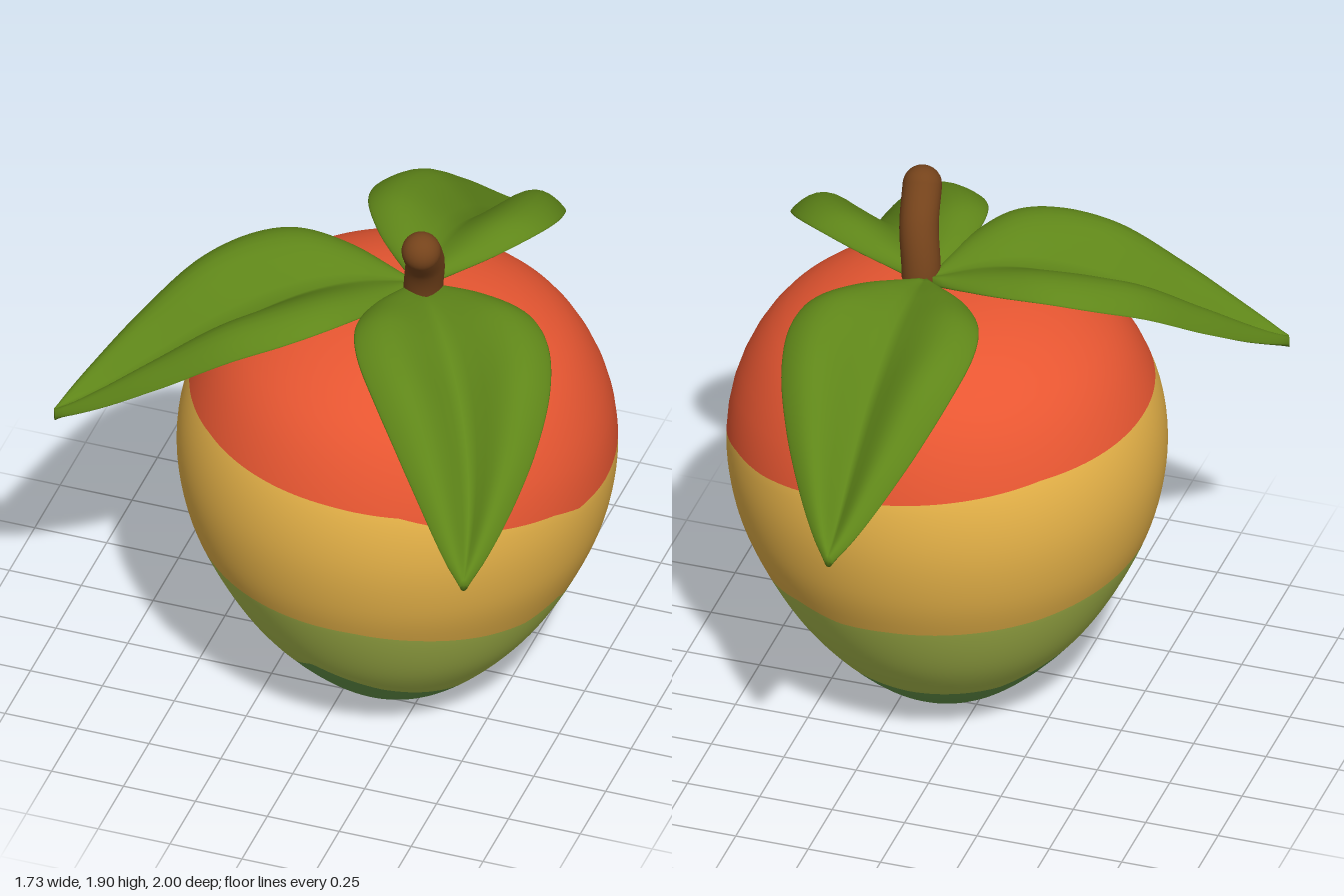
import * as THREE from 'three';

const mat = (name, color) => Object.assign(new THREE.MeshStandardMaterial({ color }), { name });

// Piecewise-linear lookup in a list of [key, value] pairs
function lookup(pairs, k) {
  let i = 1;
  while (i < pairs.length - 1 && pairs[i][0] < k) i++;
  const [a, b] = [pairs[i - 1], pairs[i]];
  return THREE.MathUtils.mapLinear(k, a[0], b[0], a[1], b[1]);
}

// Smooth curve through [x, y] points
const spline = (pts) => new THREE.CatmullRomCurve3(pts.map(([x, y]) => new THREE.Vector3(x, y, 0)));

// Parameter at which a rising component of the curve reaches a value
function solve(curve, axis, value) {
  let lo = 0, hi = 1;
  for (let n = 0; n < 24; n++) {
    const m = (lo + hi) / 2;
    if (curve.getPoint(m)[axis] < value) lo = m; else hi = m;
  }
  return (lo + hi) / 2;
}

// Surface from closed rings; point(i, j) gives [x, y, z]
function ringSurface(rows, cols, point) {
  const pos = [], idx = [];
  for (let i = 0; i <= rows; i++)
    for (let j = 0; j < cols; j++) pos.push(...point(i, j));
  for (let i = 0; i < rows; i++)
    for (let j = 0; j < cols; j++) {
      const a = i * cols + j, b = i * cols + (j + 1) % cols;
      idx.push(a, b, b + cols, a, b + cols, a + cols);
    }
  const g = new THREE.BufferGeometry();
  g.setAttribute('position', new THREE.Float32BufferAttribute(pos, 3));
  g.setIndex(idx);
  g.computeVertexNormals();
  return g;
}

// Fruit: one smooth skin, four colour bands with wavy borders
function makeFruit(materials) {
  const profile = spline([[0, 0], [0.12, 0.008], [0.21, 0.045], [0.34, 0.15], [0.51, 0.35], [0.645, 0.6],
    [0.7, 0.76], [0.724, 0.95], [0.702, 1.13], [0.63, 1.3], [0.54, 1.41], [0.4, 1.5], [0.22, 1.555], [0, 1.565]]);
  // Border heights by angle in degrees, from the front towards +x
  const borders = [
    [[-90, 0.35], [-62, 0.33], [-42, 0.265], [-28, 0.27], [-14, 0.345], [0, 0.29], [13, 0.24], [29, 0.2], [55, 0.15],
      [82, 0.135], [107, 0.175], [126, 0.2], [155, 0.2], [180, 0.19], [225, 0.2], [270, 0.35]],
    [[-90, 0.66], [-32, 0.64], [6, 0.63], [25, 0.6], [47, 0.555], [63, 0.53], [77, 0.555], [82, 0.525], [87, 0.555],
      [100, 0.55], [119, 0.52], [136, 0.55], [148, 0.575], [164, 0.56], [180, 0.58], [225, 0.61], [270, 0.66]],
    [[-90, 1.19], [-45, 1.19], [0, 1.16], [20, 1.14], [45, 1.05], [65, 1.01], [75, 0.97], [90, 0.965], [105, 0.975],
      [125, 1.03], [140, 1.05], [165, 1.1], [180, 1.12], [225, 1.18], [270, 1.19]],
  ];
  const cols = 144, per = 14;
  const stops = Array.from({ length: cols }, (_, j) =>
    [0, ...borders.map((b) => solve(profile, 'y', lookup(b, -90 + (360 * j) / cols))), 1]);
  const geo = ringSurface(per * 4, cols, (i, j) => {
    const band = Math.min(3, Math.floor(i / per));
    const v = THREE.MathUtils.lerp(stops[j][band], stops[j][band + 1], i / per - band);
    const p = profile.getPoint(v), t = THREE.MathUtils.degToRad(-90 + (360 * j) / cols);
    return [0.137 + p.x * Math.sin(t), p.y, 0.107 + p.x * Math.cos(t)];
  });
  const count = per * cols * 6;
  materials.forEach((_, k) => geo.addGroup(k * count, count, k));
  return new THREE.Mesh(geo, materials);
}

// Leaf: low midrib, raised halves with lips curling over, arching down to its tip
const leafWidth = spline([[0, 0.02], [0.06, 0.1], [0.15, 0.2], [0.28, 0.29], [0.4, 0.315], [0.55, 0.29],
  [0.7, 0.225], [0.85, 0.135], [0.95, 0.062], [1, 0.014]]);
const leafRib = spline([[0, 1.565], [0.15, 1.585], [0.3, 1.555], [0.5, 1.45], [0.7, 1.31], [0.85, 1.21], [1, 1.14]]);
const leafCrest = spline([[0, 1.57], [0.15, 1.625], [0.3, 1.65], [0.53, 1.58], [0.74, 1.405], [0.88, 1.265], [1, 1.14]]);
const at = (curve, u) => curve.getPoint(solve(curve, 'x', u)).y;

function makeLeaf(base, tip, drop, bend, material) {
  const dir = tip.clone().sub(base), perp = new THREE.Vector2(-dir.y, dir.x).normalize();
  const rows = 48, cols = 48;
  const geo = ringSurface(rows, cols, (i, j) => {
    const u = THREE.MathUtils.clamp((i - 1) / (rows - 2), 0, 1);
    const open = i === 0 || i === rows ? 0 : 1;
    const a = (j / cols) * Math.PI * 2, s = Math.cos(a) * open;
    const side = s * at(leafWidth, u) + bend * Math.sin(Math.PI * u ** 1.3);
    const rib = at(leafRib, u), crest = at(leafCrest, u);
    const lift = Math.sin(2.3 * Math.abs(s)) ** 1.2;
    const y = rib + (crest - rib) * lift - Math.sin(a) * open * 0.022 + drop * u ** 3;
    return [base.x + dir.x * u + perp.x * side, y, base.y + dir.y * u + perp.y * side];
  });
  return new THREE.Mesh(geo, material);
}

export function createModel() {
  const model = new THREE.Group();
  model.name = 'fruit';
  const add = (name, mesh) => { mesh.name = name; model.add(mesh); };

  add('fruitBody', makeFruit([mat('dark green skin', 0x66964a), mat('light green skin', 0xadbf4e),
    mat('yellow skin', 0xe8b449), mat('red skin', 0xe95732)]));

  // Three leaves around the stem, placed by [x, z]
  const leafGreen = mat('leaf green', 0x5f8619);
  const V = (x, z) => new THREE.Vector2(x, z);
  add('backLeaf', makeLeaf(V(0.2, 0.06), V(0.18, -1), 0, 0.02, leafGreen));
  add('rightLeaf', makeLeaf(V(0.18, 0.08), V(-0.86, 0.66), 0.05, 0.015, leafGreen));
  add('leftLeaf', makeLeaf(V(0.2, 0.08), V(0.68, 0.99), -0.04, -0.065, leafGreen));

  // Bent stem with a rounded end
  const brown = mat('stem brown', 0x75431b);
  const path = new THREE.CatmullRomCurve3([[0.225, 1.45, 0.11], [0.23, 1.6, 0.115], [0.25, 1.73, 0.155],
    [0.265, 1.835, 0.235]].map((p) => new THREE.Vector3(...p)));
  add('stem', new THREE.Mesh(new THREE.TubeGeometry(path, 32, 0.065, 24), brown));
  const end = new THREE.Mesh(new THREE.SphereGeometry(0.065, 24, 16), brown);
  end.position.copy(path.getPoint(1));
  add('stemEnd', end);
  return model;
}
